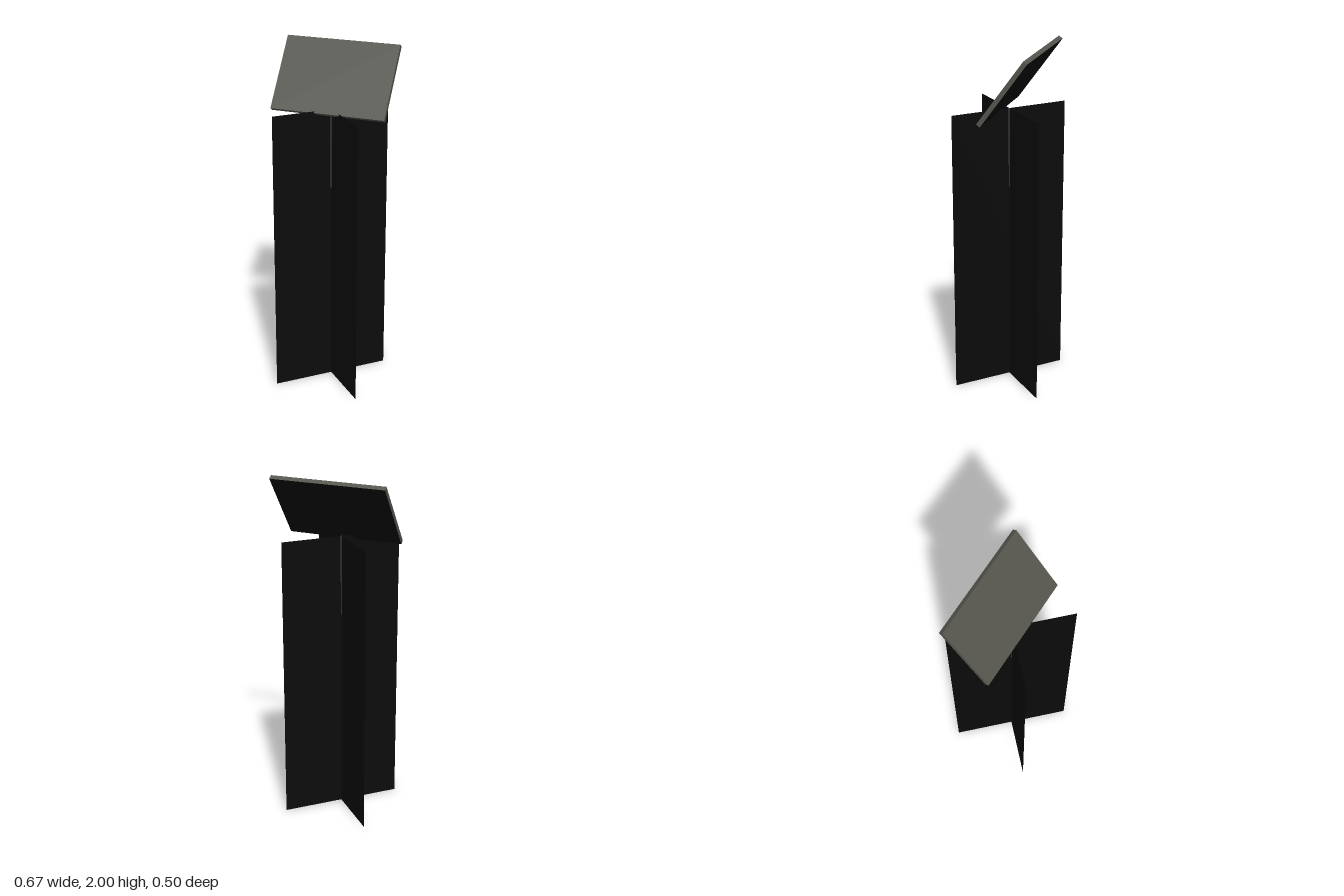
import * as THREE from 'three';

export function createModel() {
  const model = new THREE.Group();
  const black = new THREE.MeshStandardMaterial({ color: 0x0b0b0b, side: THREE.DoubleSide });
  black.name = 'matte black';
  const grey = new THREE.MeshStandardMaterial({ color: 0x56564f });
  grey.name = 'warm grey';

  const add = (name, geometry, material, x, y, z) => {
    const mesh = new THREE.Mesh(geometry, material);
    mesh.name = name;
    mesh.position.set(x, y, z);
    model.add(mesh);
    return mesh;
  };

  // Two thin upright sheets crossing on the diagonals
  const height = 1.65, half = 0.248;
  for (const side of [1, -1]) {
    const sheet = add(side > 0 ? 'crossSheetA' : 'crossSheetB',
      new THREE.PlaneGeometry(half * 2 * Math.SQRT2, height), black, 0, height / 2, 0);
    sheet.rotation.y = side * Math.PI / 4;
  }

  // Slim rod at the crossing, narrowing to its lower end
  add('rod', new THREE.CylinderGeometry(0.005, 0.003, 0.46, 8), grey, 0, 1.42, 0);

  // Tilted panel: grey front and edges, black back
  const panel = add('tiltedPanel', new THREE.BoxGeometry(0.667, 0.443, 0.026),
    [grey, grey, grey, grey, grey, black], 0, 1.813, -0.065);
  panel.rotation.x = THREE.MathUtils.degToRad(-36);

  return model;
}
